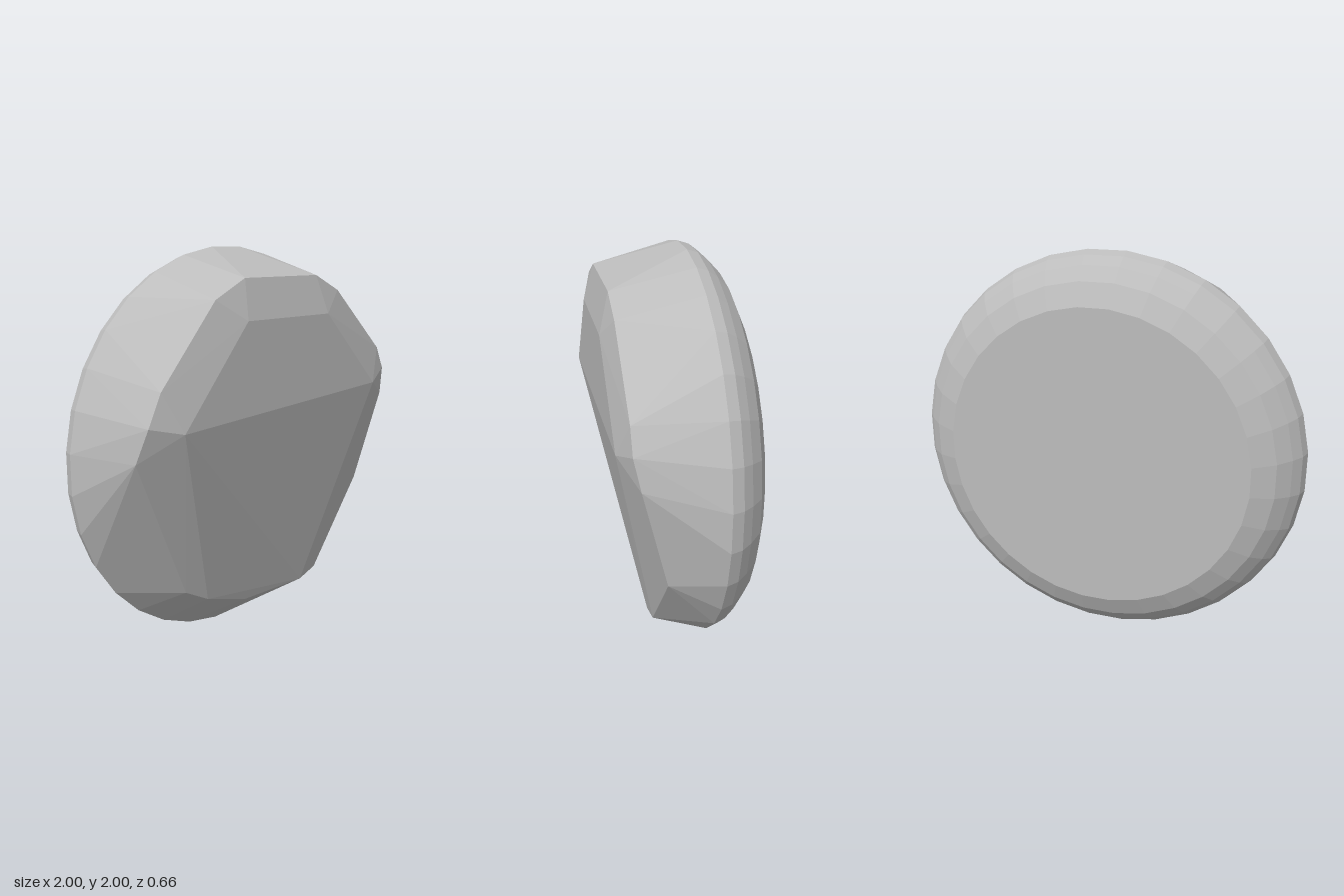
import * as THREE from 'three';
import { ConvexGeometry } from 'three/addons/geometries/ConvexGeometry.js';

const SIDES = 32;

// One ring of the round body, with flats at top, bottom and sides
function ring(radius, z) {
  return Array.from({ length: SIDES }, (_, i) => {
    const a = ((i + 0.5) / SIDES) * Math.PI * 2;
    return new THREE.Vector3(Math.cos(a) * radius, 1 + Math.sin(a) * radius, z);
  });
}

export function createModel() {
  const group = new THREE.Group();
  group.name = 'facetedDisc';
  const grey = new THREE.MeshStandardMaterial({ color: 0xbcbcbc });
  grey.name = 'stone grey';

  // Rounded back: widest ring, then curving in to the flat back
  const back = [[1.003, -0.115], [0.985, -0.17], [0.945, -0.22], [0.88, -0.28], [0.77, -0.33]]
    .flatMap(([r, z]) => ring(r, z));

  // Raised front plateau
  const plateau = [
    [-0.31, 1.67, 0.33], [0.28, 1.67, 0.33], [0.7, 1.27, 0.33], [-0.71, 1.21, 0.33],
  ];

  // Upper shoulder around the plateau
  const shoulder = [
    [-0.28, 1.86, 0.28], [0.24, 1.86, 0.28], [0.42, 1.78, 0.28],
    [0.8, 1.45, 0.28], [0.86, 1.33, 0.28], [0.89, 1.18, 0.25],
    [-0.47, 1.77, 0.28], [-0.8, 1.4, 0.28], [-0.87, 1.25, 0.275], [-0.9, 1.09, 0.22],
  ];

  // Lower rim, where the front slopes down and back
  const lowerRim = [
    [0.84, 0.66, 0.125], [0.47, 0.2, 0.125], [0.34, 0.165, 0.13],
    [-0.1, 0.18, 0.115], [-0.39, 0.28, 0.13], [-0.52, 0.35, 0.11],
  ];

  const front = [...plateau, ...shoulder, ...lowerRim].map((p) => new THREE.Vector3(...p));
  const body = new THREE.Mesh(new ConvexGeometry([...back, ...front]), grey);
  body.name = 'body';
  group.add(body);
  return group;
}
